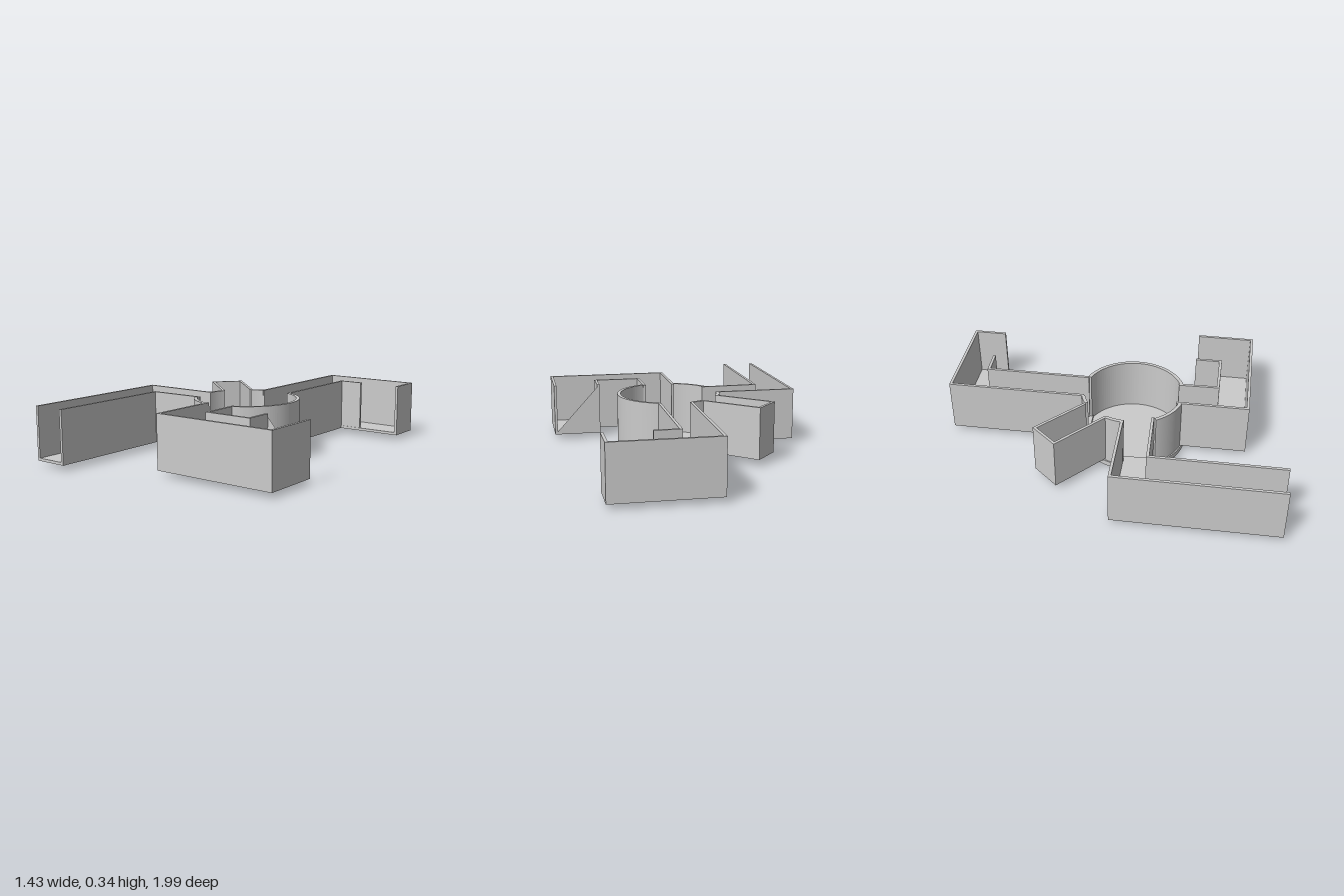
import * as THREE from 'three';

const TOP = 0.34, BASE = 0.03, T = 0.016;
const CX = 0.055, CZ = 0.09, R = 0.305;

export function createModel() {
  const model = new THREE.Group();
  const material = new THREE.MeshStandardMaterial({ color: 0xcccccc, side: THREE.DoubleSide });

  // Extrude a plan outline of [x, z] points between two heights
  function slab(name, outline, y0, y1) {
    const shape = new THREE.Shape(outline.map(([x, z]) => new THREE.Vector2(x, -z)));
    const geo = new THREE.ExtrudeGeometry(shape, { depth: y1 - y0, bevelEnabled: false });
    geo.rotateX(-Math.PI / 2).translate(0, y0, 0);
    const mesh = new THREE.Mesh(geo, material);
    mesh.name = name;
    model.add(mesh);
  }

  // Thin wall along a path; thickness grows to one side, with mitred corners
  function wall(name, path, side = 1, y0 = BASE) {
    const pts = path.map(([x, z]) => new THREE.Vector2(x, z));
    const normal = (a, b) => {
      const d = b.clone().sub(a).normalize();
      return new THREE.Vector2(-d.y, d.x).multiplyScalar(side);
    };
    const inner = pts.map((p, i) => {
      const n0 = i > 0 ? normal(pts[i - 1], p) : normal(p, pts[i + 1]);
      const n1 = i < pts.length - 1 ? normal(p, pts[i + 1]) : n0;
      const m = n0.clone().add(n1).multiplyScalar(T / (1 + n0.dot(n1)));
      return [p.x + m.x, p.y + m.y];
    });
    slab(name, [...path, ...inner.reverse()], y0, TOP);
  }

  // Round room floor
  const floor = new THREE.Mesh(new THREE.CylinderGeometry(0.313, 0.313, BASE, 64), material);
  floor.name = 'roomFloor';
  floor.position.set(CX, BASE / 2, CZ);
  model.add(floor);

  // Curved room walls between the openings; angles run from +x towards +z
  function roomWall(name, from, to, y0) {
    const arc = new THREE.Shape();
    arc.absarc(0, 0, R, from, to, false);
    arc.absarc(0, 0, R - 0.02, to, from, true);
    const geo = new THREE.ExtrudeGeometry(arc, { depth: TOP - y0, bevelEnabled: false, curveSegments: 24 });
    geo.rotateX(Math.PI / 2).translate(CX, TOP, CZ);
    const mesh = new THREE.Mesh(geo, material);
    mesh.name = name;
    model.add(mesh);
  }
  roomWall('roomWallLeft', -1.21, 1.2, 0.002);
  roomWall('roomWallFront', 1.86, 2.58, 0.01);
  roomWall('roomWallRight', 3.2, 3.57, 0.01);
  roomWall('roomWallBack', 4.17, 4.42, 0.01);

  // Back corridor: closed end, side opening near its end
  slab('backCorridorFloor', [[-0.035, -0.17], [-0.035, -0.997], [0.565, -0.997], [0.565, -0.8],
    [0.165, -0.795], [0.165, -0.17]], BASE, BASE + T);
  wall('backCorridorOuterWall', [[-0.035, -0.19], [-0.035, -0.997], [0.565, -0.997], [0.565, -0.8]]);
  wall('backCorridorInnerWall', [[0.165, -0.19], [0.165, -0.797], [0.3, -0.8]], -1);

  // Right corridor: bends to the front with an open end
  slab('rightCorridorFloor', [[-0.2, 0.055], [-0.715, 0.055], [-0.715, 0.997], [-0.512, 0.997],
    [-0.512, 0.25], [-0.18, 0.24]], BASE, BASE + T);
  wall('rightCorridorOuterWall', [[-0.24, 0.055], [-0.715, 0.055], [-0.715, 0.997]], -1);
  wall('rightCorridorInnerWall', [[-0.18, 0.24], [-0.512, 0.25], [-0.512, 0.997]]);

  // Front corridor: bends left, then back
  slab('frontCorridorFloor', [[-0.03, 0.34], [-0.03, 0.77], [0.713, 0.77], [0.713, 0.43],
    [0.43, 0.43], [0.43, 0.572], [0.17, 0.572], [0.165, 0.34]], BASE, BASE + T);
  wall('frontCorridorOuterWall', [[-0.03, 0.35], [-0.03, 0.77], [0.713, 0.77], [0.713, 0.43]], -1);
  wall('frontCorridorInnerWall', [[0.165, 0.35], [0.17, 0.572], [0.43, 0.572], [0.43, 0.43]]);

  // Sloping half panel across the end of the front corridor
  const half = new THREE.Shape([[0.43, BASE], [0.713, BASE], [0.43, TOP]].map(p => new THREE.Vector2(...p)));
  const panel = new THREE.Mesh(new THREE.ShapeGeometry(half), material);
  panel.name = 'frontCorridorEndPanel';
  panel.position.z = 0.43;
  model.add(panel);

  // Small diagonal alcove without a floor
  wall('alcoveWall', [[-0.215, -0.025], [-0.495, -0.275], [-0.367, -0.42], [-0.1, -0.175]], 1, 0.04);

  return model;
}
